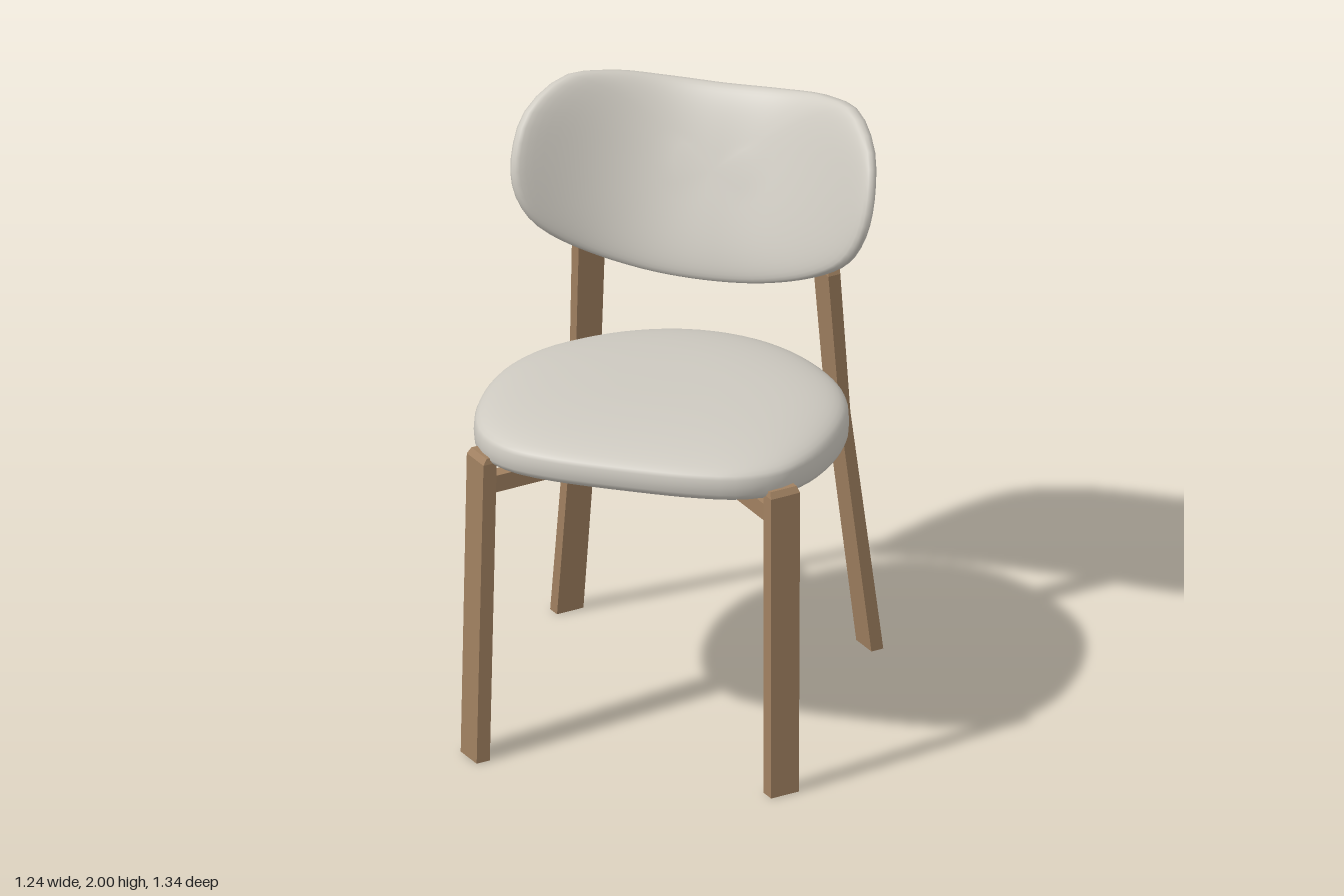
import * as THREE from 'three';
import { mergeVertices } from 'three/addons/utils/BufferGeometryUtils.js';

const V = (x, y, z) => new THREE.Vector3(x, y, z);

// Smooth cushion: a mirrored outline swept over a superellipse edge profile.
// half: [a, b] points from bottom centre round the +a side to top centre.
function cushion(half, centreB, power, map) {
  const mirrored = half.slice(1, -1).reverse().map(([a, b]) => [-a, b]);
  const curve = new THREE.CatmullRomCurve3([...half, ...mirrored].map(([a, b]) => V(a, b, 0)), true);
  const N = 72, M = 28;
  const ring = curve.getSpacedPoints(N).slice(0, N);
  const pos = [], index = [];
  for (let i = 0; i <= M; i++) {
    const t = (i / M - 0.5) * Math.PI;
    const pole = i === 0 || i === M;
    const s = pole ? 0 : Math.cos(t) ** (2 / power);
    const w = Math.sign(t) * Math.abs(Math.sin(t)) ** (2 / power);
    for (const p of ring) pos.push(...map(p.x * s, centreB + (p.y - centreB) * s, w).toArray());
  }
  for (let i = 0; i < M; i++) {
    for (let j = 0; j < N; j++) {
      const k = (j + 1) % N, a = i * N + j, b = i * N + k, c = b + N, d = a + N;
      if (i > 0) index.push(a, b, c);
      if (i < M - 1) index.push(a, c, d);
      if (i === 0) index.push(a, c, d);
      if (i === M - 1) index.push(a, b, c);
    }
  }
  const g = new THREE.BufferGeometry();
  g.setAttribute('position', new THREE.Float32BufferAttribute(pos, 3));
  // drop the repeated triangles at the poles
  g.setIndex(index.filter((_, n) => n >= 0));
  const merged = mergeVertices(g, 1e-5);
  merged.computeVertexNormals();
  return merged;
}

// Rectangular beam lofted through points [centre, width, thickness].
function beam(sections, dir, side) {
  const a = side.clone().normalize();
  const b = dir.clone().normalize().cross(a);
  const rings = sections.map(([c, w, t]) =>
    [[-1, -1], [1, -1], [1, 1], [-1, 1]].map(([u, v]) =>
      c.clone().addScaledVector(a, u * w / 2).addScaledVector(b, v * t / 2)));
  const pos = [];
  const quad = (p, q, r, s) => [p, q, r, p, r, s].forEach(v => pos.push(v.x, v.y, v.z));
  for (let i = 0; i < rings.length - 1; i++) {
    for (let j = 0; j < 4; j++) {
      const k = (j + 1) % 4;
      quad(rings[i][j], rings[i][k], rings[i + 1][k], rings[i + 1][j]);
    }
  }
  const [s, e] = [rings[0], rings[rings.length - 1]];
  quad(s[3], s[2], s[1], s[0]);
  quad(e[0], e[1], e[2], e[3]);
  const g = new THREE.BufferGeometry();
  g.setAttribute('position', new THREE.Float32BufferAttribute(pos, 3));
  g.computeVertexNormals();
  return g;
}

export function createModel() {
  const group = new THREE.Group();
  const fabric = new THREE.MeshStandardMaterial({ color: 0xcfcbc2 });
  fabric.name = 'light grey fabric';
  const wood = new THREE.MeshStandardMaterial({ color: 0xa08060 });
  wood.name = 'brown wood';
  const add = (name, geometry, material) => {
    const mesh = new THREE.Mesh(geometry, material);
    mesh.name = name;
    group.add(mesh);
  };

  // Seat cushion: thick pad sloping gently down to the back
  const seatOutline = [[0, -0.68], [0.25, -0.67], [0.4, -0.635], [0.51, -0.55], [0.575, -0.41],
    [0.605, -0.2], [0.59, 0], [0.53, 0.17], [0.43, 0.31], [0.3, 0.43], [0.15, 0.51], [0, 0.535]];
  add('seat', cushion(seatOutline, 0, 3.6, (a, b, w) => {
    const z = -b;
    return V(a, 1.07 + 0.07 * z + w * (0.115 - 0.06 * z * z), z);
  }), fabric);

  // Backrest: leaning pad whose sides wrap forward
  const backOutline = [[0, 1.345], [0.2, 1.365], [0.38, 1.435], [0.52, 1.545], [0.59, 1.67],
    [0.61, 1.8], [0.585, 1.93], [0.5, 1.997], [0.38, 1.988], [0.2, 1.957], [0, 1.945]];
  add('backrest', cushion(backOutline, 1.68, 3, (a, b, w) => {
    const x = Math.abs(a);
    const z = -0.385 - 0.43 * (b - 1.36) + 1.25 * x ** 2.5;
    const normal = V(-Math.sign(a) * 3.125 * x ** 1.5, 0.43, 1).normalize();
    return V(a, b, z).addScaledVector(normal, w * 0.055);
  }), fabric);

  // Legs and diagonal stretchers, mirrored left and right
  const up = V(0, 1, 0);
  for (const [m, label] of [[1, 'left'], [-1, 'right']]) {
    add(label + 'FrontLeg', beam([
      [V(m * 0.52, 0, 0.595), 0.105, 0.05],
      [V(m * 0.51, 1.07, 0.55), 0.11, 0.05],
      [V(m * 0.505, 1.09, 0.545), 0.1, 0.035],
    ], up, V(m, 0, -1)), wood);

    add(label + 'RearLeg', beam([
      [V(m * 0.515, 0, -0.545), 0.1, 0.045],
      [V(m * 0.43, 0.9, -0.457), 0.095, 0.04],
      [V(m * 0.405, 1.42, -0.41), 0.1, 0.045],
      [V(m * 0.355, 1.86, -0.567), 0.06, 0.035],
    ], up, V(m, 0, 1)), wood);

    const stretcher = (name, from, to) => {
      const dir = V(to.x - from.x, 0, to.z - from.z);
      add(name, beam([[from, 0.05, 0.06], [to, 0.05, 0.06]], dir, V(dir.z, 0, -dir.x)), wood);
    };
    stretcher(label + 'FrontStretcher', V(-m * 0.03, 0.965, -0.01), V(m * 0.5, 0.975, 0.54));
    stretcher(label + 'RearStretcher', V(-m * 0.03, 0.935, 0.06), V(m * 0.425, 0.918, -0.45));
  }
  return group;
}
